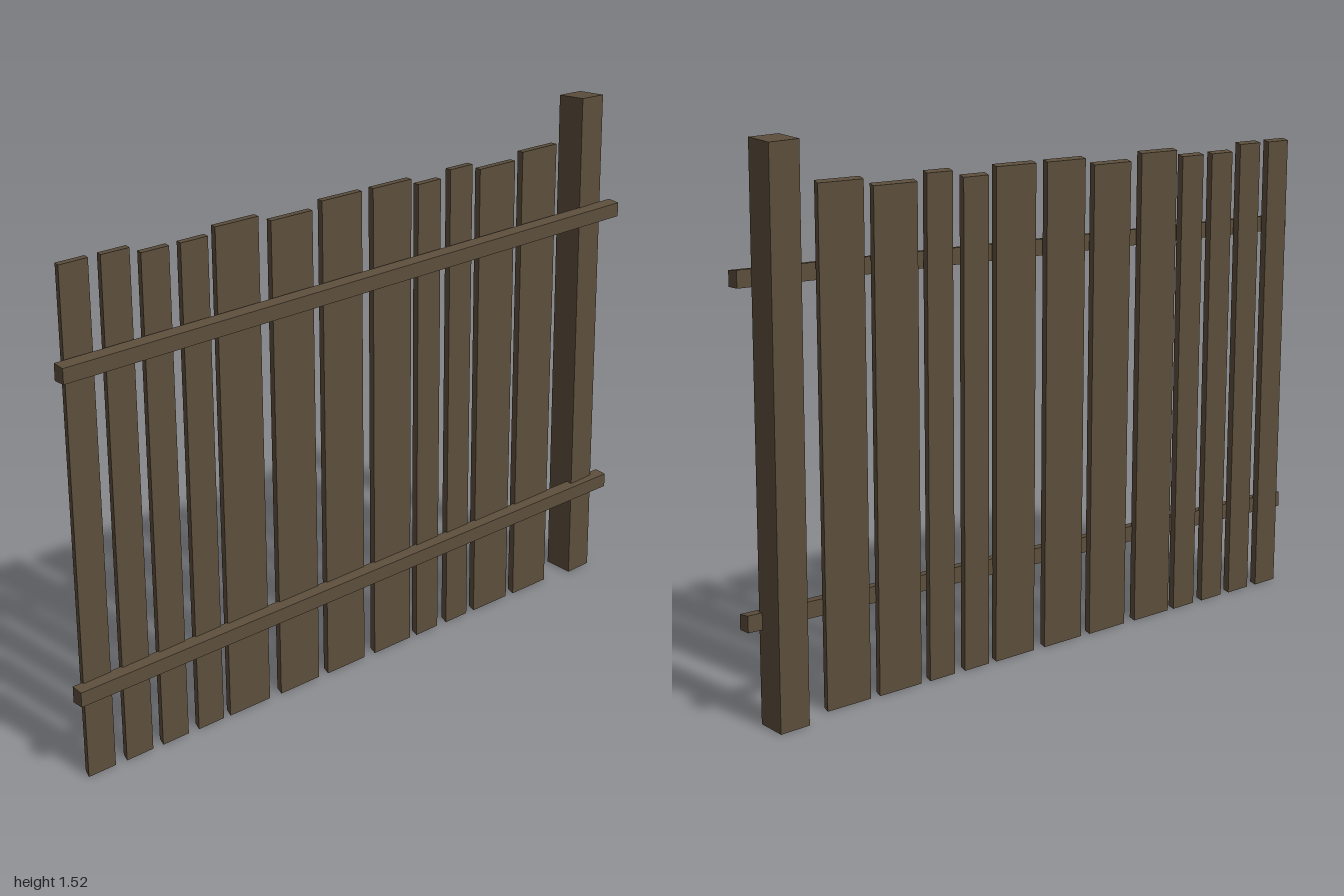
import * as THREE from 'three';

const wood = new THREE.MeshStandardMaterial({ color: 0x5c4e3c });
wood.name = 'weatheredWood';

// Box whose corners are moved by a rule(u, v, w), each 0..1 along x, y, z
function skewedBox(name, rule) {
  const geo = new THREE.BoxGeometry(1, 1, 1);
  const p = geo.attributes.position;
  for (let i = 0; i < p.count; i++) {
    p.setXYZ(i, ...rule(p.getX(i) + 0.5, p.getY(i) + 0.5, p.getZ(i) + 0.5));
  }
  geo.computeVertexNormals();
  const mesh = new THREE.Mesh(geo, wood);
  mesh.name = name;
  return mesh;
}

export function createModel() {
  const fence = new THREE.Group();
  fence.name = 'fence';

  // Upright planks: left edge, right edge, height
  const planks = [
    [-0.973, -0.865, 1.40], [-0.85, -0.742, 1.40], [-0.73, -0.622, 1.38],
    [-0.608, -0.5, 1.38], [-0.498, -0.335, 1.40], [-0.315, -0.152, 1.38],
    [-0.14, 0.023, 1.40], [0.042, 0.205, 1.40], [0.21, 0.318, 1.38],
    [0.333, 0.441, 1.40], [0.45, 0.613, 1.38], [0.622, 0.785, 1.40],
  ];
  const plankGroup = new THREE.Group();
  plankGroup.name = 'planks';
  planks.forEach(([left, right, height], i) => {
    const width = right - left - 0.02;
    // leaning backwards, with bevel-cut sides
    plankGroup.add(skewedBox(`plank${i + 1}`, (u, v, w) => [
      left + u * width + 0.008 * v + 0.012 * (1 - w),
      v * height - 0.004 * v * (1 - w),
      0.012 + 0.032 * w - 0.023 * v - 0.002 * u,
    ]));
  });
  fence.add(plankGroup);

  // Tall end post, leaning backwards
  fence.add(skewedBox('post', (u, v, w) => [
    0.863 + 0.092 * u + 0.004 * v + 0.005 * (1 - w),
    1.515 * v + 0.006 * v * w - 0.003 * u * v,
    -0.038 + 0.095 * w - 0.027 * v - 0.004 * u,
  ]));

  // Two horizontal rails, rising towards the post
  [['lowerRail', 0.23], ['upperRail', 1.117]].forEach(([name, y]) => {
    fence.add(skewedBox(name, (u, v, w) => [
      -1 + 2 * u, y + 0.042 * v + 0.032 * u + 0.004 * v * (1 - w), 0.033 + 0.037 * w,
    ]));
  });

  return fence;
}
